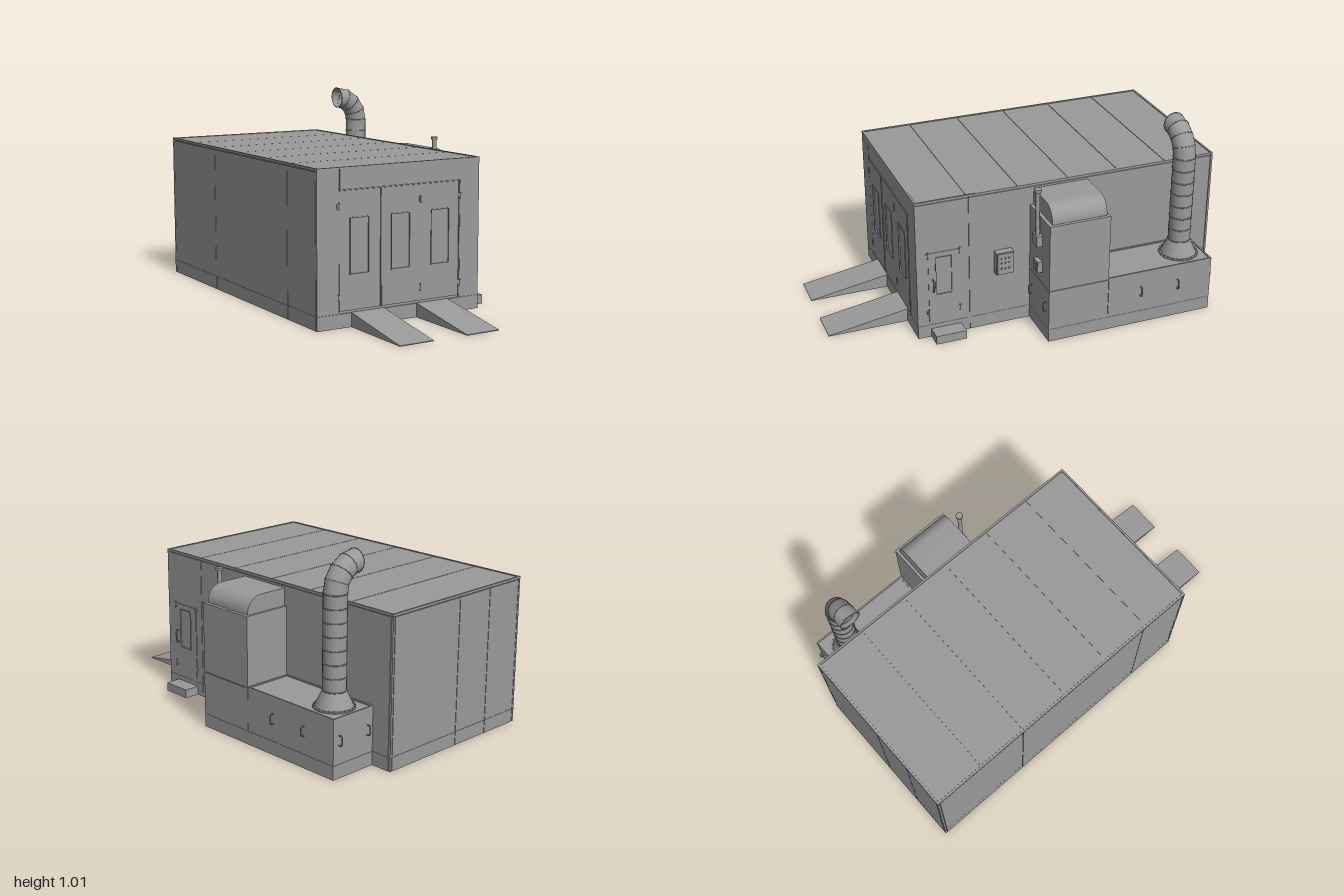
import * as THREE from 'three';
import { toCreasedNormals } from 'three/addons/utils/BufferGeometryUtils.js';
import { ParametricGeometry } from 'three/addons/geometries/ParametricGeometry.js';

const grey = new THREE.MeshStandardMaterial({ color: 0x9a9a9a });
const thin = new THREE.MeshStandardMaterial({ color: 0x9a9a9a, side: THREE.DoubleSide });

export function createModel() {
  const root = new THREE.Group();

  const add = (name, geo, material = grey) => {
    const mesh = new THREE.Mesh(geo, material);
    mesh.name = name;
    root.add(mesh);
    return mesh;
  };
  // box given by its limits on each axis
  const box = (name, x0, x1, y0, y1, z0, z1) =>
    add(name, new THREE.BoxGeometry(x1 - x0, y1 - y0, z1 - z0)
      .translate((x0 + x1) / 2, (y0 + y1) / 2, (z0 + z1) / 2));
  const rect = (type, x0, x1, y0, y1) => {
    const s = new type();
    s.moveTo(x0, y0).lineTo(x1, y0).lineTo(x1, y1).lineTo(x0, y1).closePath();
    return s;
  };
  // flat sheet facing +z with rectangular openings
  const sheet = (outer, holes, depth) => {
    const s = rect(THREE.Shape, ...outer);
    s.holes.push(...holes.map(h => rect(THREE.Path, ...h)));
    return new THREE.ExtrudeGeometry(s, { depth, bevelEnabled: false });
  };
  // outline in (z, y) swept across x0..x1
  const sideExtrude = (points, x0, x1) =>
    new THREE.ExtrudeGeometry(new THREE.Shape(points.map(p => new THREE.Vector2(...p))),
      { depth: x1 - x0, bevelEnabled: false }).rotateY(-Math.PI / 2).translate(x1, 0, 0);

  // booth core, with panels and edge trims laid over it leaving narrow seams
  const L = -0.59, R = 0.317, B = -1, F = 0.59, H = 0.75, skirt = 0.068, g = 0.0015, trim = 0.012;
  box('boothCore', L + 0.005, R - 0.005, 0, H - 0.006, B + 0.005, F - 0.006);
  const spans = cuts => cuts.slice(1).map((c, i) => [cuts[i] + g, c - g]);
  for (const [y0, y1] of [[0, skirt], [skirt + 0.001, H - 0.015], [H - 0.012, H - 0.004]]) {
    for (const [a, b] of spans([B - g, B + trim, -0.47, 0.31, F - trim, F]))
      box('leftWallPanel', L, L + 0.006, y0, y1, a, b);
    for (const [a, b] of spans([B - g, B + trim, 0.32, F]))
      box('rightWallPanel', R - 0.006, R, y0, y1, a, b);
    for (const [a, b] of spans([L - g, L + trim, -0.36, -0.14, R - trim, R + g]))
      box('backWallPanel', a, b, y0, y1, B, B + 0.006);
  }
  for (const [a, b] of spans([B + 0.01, -0.73, -0.465, -0.2, 0.065, 0.33, F - 0.01]))
    box('roofPanel', L + 0.012, R - 0.012, H - 0.008, H - 0.003, a, b);
  const rim = add('roofRim', sheet([L, R, B, F], [[L + 0.01, R - 0.01, B + 0.01, F - 0.01]], 0.008));
  rim.geometry.rotateX(Math.PI / 2).translate(0, H, 0);

  // front wall strips around the doors
  box('frontSkirt', L, R, 0, skirt, F - 0.008, F);
  box('frontLeftStrip', L, -0.473, skirt + 0.001, H - 0.008, F - 0.008, F);
  box('frontRightStrip', 0.205, R, skirt + 0.001, H - 0.008, F - 0.008, F);
  box('frontHeader', -0.468, 0.205, 0.646, H - 0.008, F - 0.008, F);

  // single and double door leaves with framed windows
  const sill = 0.247, lintel = 0.515;
  const leaves = [[-0.472, -0.25, [[-0.416, -0.31]]], [-0.24, 0.196, [[-0.19, -0.083], [0.035, 0.142]]]];
  for (const [x0, x1, windows] of leaves) {
    const holes = windows.map(([a, b]) => [a, b, sill, lintel]);
    add('frontDoor', sheet([x0, x1, 0.08, 0.64], holes, 0.008).translate(0, 0, F - 0.008));
    for (const [a, b] of windows) {
      add('frontWindowFrame', sheet([a, b, sill, lintel], [[a + 0.004, b - 0.004, sill + 0.004, lintel - 0.004]], 0.011)
        .translate(0, 0, F - 0.008));
      box('frontWindowPane', a, b, sill, lintel, F - 0.008, F - 0.003);
    }
  }
  box('doorSealCentre', -0.247, -0.243, 0.08, 0.64, F - 0.006, F + 0.003);
  box('doorSealTop', -0.468, 0.2, 0.641, 0.645, F - 0.006, F + 0.003);
  box('doorSealRight', 0.198, 0.202, 0.08, 0.64, F - 0.006, F + 0.003);

  // hinges: a pin with two leaves
  const hinge = (x, y, z, turn) => {
    const group = new THREE.Group();
    group.name = 'hinge';
    const pin = new THREE.Mesh(new THREE.CylinderGeometry(0.004, 0.004, 0.036, 8), grey);
    pin.name = 'hingePin';
    const plate = new THREE.Mesh(new THREE.BoxGeometry(0.02, 0.022, 0.004), grey);
    plate.name = 'hingePlate';
    group.add(pin, plate);
    group.position.set(x, y, z);
    group.rotation.y = turn;
    root.add(group);
  };
  for (const y of [0.145, 0.57]) for (const x of [-0.475, -0.024, 0.204]) hinge(x, y, F + 0.001, 0);

  // loading ramps
  for (const x of [-0.408, -0.045])
    add('ramp', sideExtrude([[F, 0], [1, 0], [1, 0.004], [F, 0.07]], x, x + 0.18));

  // side door with window, handle and step
  const onRight = geo => geo.rotateY(Math.PI / 2).translate(R, 0, 0);
  const pane = [-0.495, -0.408, 0.233, 0.445];
  add('sideDoor', onRight(sheet([-0.53, -0.365, 0.075, 0.47], [pane], 0.003)));
  add('sideWindowFrame', onRight(sheet(pane, [[-0.491, -0.412, 0.237, 0.441]], 0.006)));
  for (const y of [0.14, 0.46]) for (const z of [0.532, 0.37]) hinge(R + 0.002, y, z, Math.PI / 2);
  box('step', R - 0.002, 0.397, 0, 0.045, 0.365, 0.522);

  // control cabinet with buttons
  box('controlCabinet', R - 0.002, 0.355, 0.3, 0.42, 0.1, 0.19);
  box('controlCabinetDoor', 0.355, 0.36, 0.304, 0.416, 0.104, 0.186);
  for (const y of [0.335, 0.365, 0.39]) for (const z of [0.125, 0.145, 0.165])
    box('controlButton', 0.359, 0.365, y - 0.004, y + 0.004, z - 0.004, z + 0.004);

  // air handling unit: low duct box, tall fan cabinet
  const U = 0.57, X = 0.443;
  box('ductBoxBase', R - 0.003, U, 0, skirt, -0.888, -0.317);
  box('ductBox', R - 0.003, U, skirt + 0.001, 0.288, -0.888, -0.319);
  box('ductBoxCore', R - 0.003, U - 0.005, 0.01, 0.28, -0.883, -0.3);
  const lid = add('ductBoxRim', sheet([R, U, -0.888, -0.319], [[R + 0.008, U - 0.008, -0.88, -0.327]], 0.005));
  lid.geometry.rotateX(Math.PI / 2).translate(0, 0.293, 0);
  box('fanCabinetBase', R - 0.003, U, 0, skirt, -0.317, 0);
  box('fanCabinetLower', R - 0.003, U, skirt + 0.001, 0.283, -0.317, 0);
  box('fanCabinetUpper', R - 0.003, U, 0.287, 0.638, -0.317, 0);
  box('fanCabinetCore', R - 0.003, U - 0.005, 0.01, 0.63, -0.31, -0.005);

  // rounded hood leading the air into the booth
  const hood = new THREE.Shape();
  hood.moveTo(R - 0.003, 0.635).lineTo(0.553, 0.635).lineTo(0.553, 0.645)
    .absarc(0.473, 0.645, 0.08, 0, Math.PI / 2, false).lineTo(R - 0.003, 0.725).closePath();
  add('hood', toCreasedNormals(new THREE.ExtrudeGeometry(hood,
    { depth: 0.285, bevelEnabled: false, curveSegments: 12 }).translate(0, 0, -0.303), 0.5));

  // burner boxes and slim flue
  box('flueBox', 0.423, 0.479, 0.489, 0.546, -0.002, 0.03);
  box('burnerBox', 0.423, 0.479, 0.345, 0.403, -0.002, 0.024);
  for (const x of [0.439, 0.463]) for (const y of [0.362, 0.386])
    box('burnerKnob', x - 0.004, x + 0.004, y - 0.004, y + 0.004, 0.023, 0.029);
  const flue = [[0, 0.54], [0.011, 0.54], [0.011, 0.774], [0.018, 0.774], [0.018, 0.788], [0, 0.788]];
  add('flue', toCreasedNormals(new THREE.LatheGeometry(flue.map(p => new THREE.Vector2(...p)), 16)
    .translate(0.451, 0, 0.016), 0.6));

  // exhaust stack: flared foot, straight pipe, joint rings
  const r = 0.056, Z = -0.765, bendY = 0.825, bend = X - R;
  const stack = [[0.1, 0.288], [0.1, 0.293], [0.09, 0.294], [r, 0.37], [r, bendY]];
  add('exhaustStack', toCreasedNormals(new THREE.LatheGeometry(stack.map(p => new THREE.Vector2(...p)), 24)
    .translate(X, 0, Z), 0.35), thin);
  for (const y of [0.37, 0.435, 0.5, 0.565, 0.63, 0.695, 0.76, bendY])
    add('stackRing', new THREE.TorusGeometry(r, 0.003, 6, 24).rotateX(Math.PI / 2).translate(X, y, Z));
  for (let i = 0; i < 24; i++) {
    const a = i / 24 * Math.PI * 2;
    add('flangeBolt', new THREE.CylinderGeometry(0.003, 0.003, 0.005, 6)
      .translate(X + 0.095 * Math.cos(a), 0.296, Z + 0.095 * Math.sin(a)));
  }
  // segmented elbow with an open mouth
  const elbow = (u, v, target) => {
    const a = u * Math.PI / 2, t = v * Math.PI * 2, d = bend + r * Math.cos(t);
    target.set(R + d * Math.cos(a), bendY + d * Math.sin(a), Z - r * Math.sin(t));
  };
  add('exhaustElbow', toCreasedNormals(new ParametricGeometry(elbow, 4, 24), 0.3), thin);
  for (let i = 1; i <= 4; i++) {
    const a = i * Math.PI / 8;
    add('elbowSeam', new THREE.TorusGeometry(r, 0.002, 6, 24).rotateX(Math.PI / 2).rotateZ(a)
      .translate(R + bend * Math.cos(a) + (i === 4 ? 0.002 : 0), bendY + bend * Math.sin(a), Z));
  }

  // D-shaped pull handles
  const grip = new THREE.CurvePath();
  const pts = [[-0.024, 0], [-0.024, 0.014], [-0.019, 0.019], [0.019, 0.019], [0.024, 0.014], [0.024, 0]]
    .map(([y, z]) => new THREE.Vector3(0, y, z));
  for (let i = 1; i < pts.length; i++) grip.add(new THREE.LineCurve3(pts[i - 1], pts[i]));
  const gripGeo = new THREE.TubeGeometry(grip, 30, 0.0035, 6);
  const handle = (x, y, z, turn, scale = 1) => {
    const h = add('pullHandle', gripGeo);
    h.position.set(x, y, z);
    h.rotation.y = turn;
    h.scale.y = scale;
  };
  for (const x of [0.353, 0.535]) {
    handle(x, 0.184, 0, 0);
    handle(x, 0.184, -0.888, Math.PI);
  }
  for (const z of [-0.495, -0.7]) handle(U, 0.184, z, Math.PI / 2);
  handle(R + 0.002, 0.293, 0.509, Math.PI / 2, 1.3);

  return root;
}
